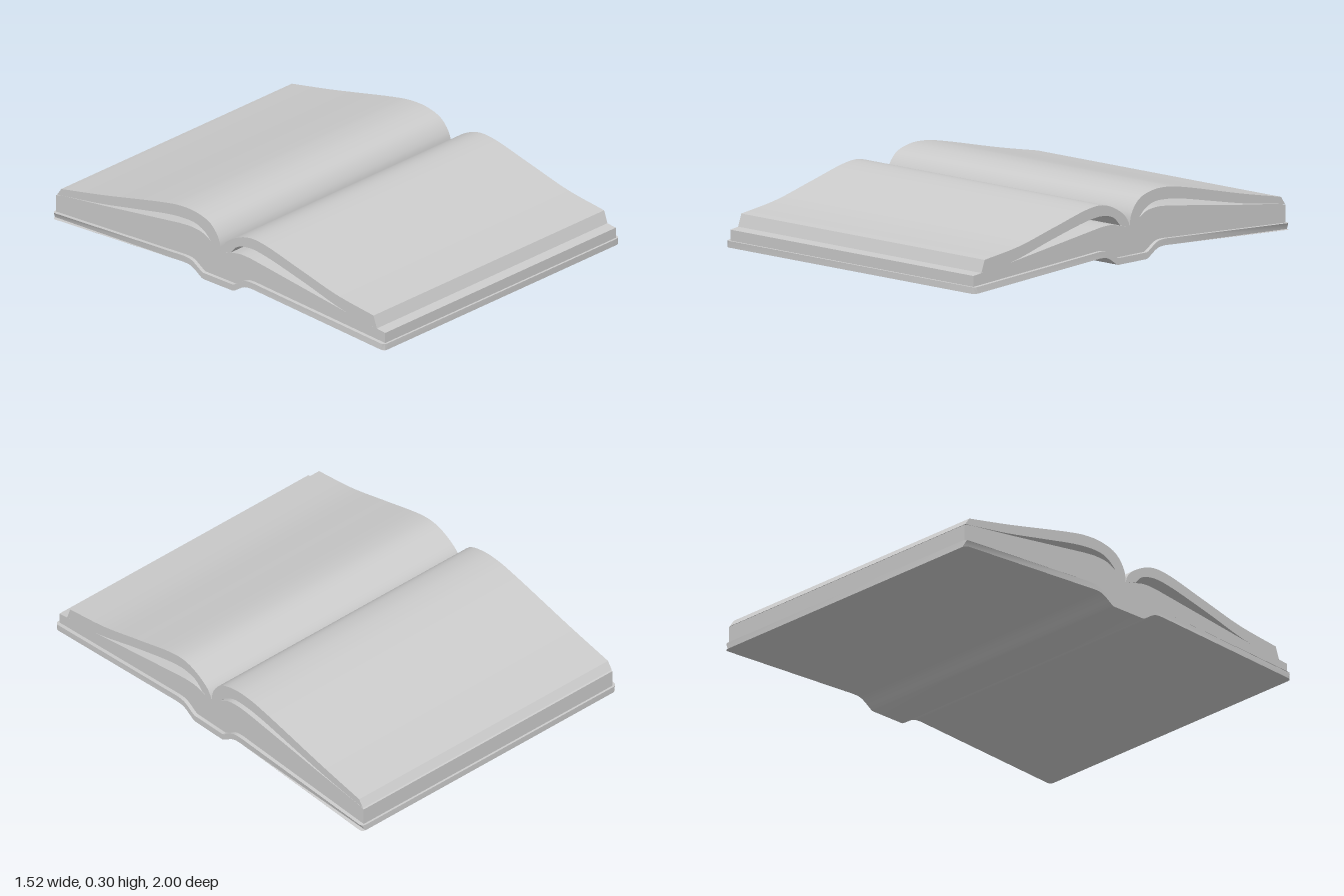
import * as THREE from 'three';
import { toCreasedNormals } from 'three/addons/utils/BufferGeometryUtils.js';

const material = new THREE.MeshStandardMaterial({ color: 0xcccccc });

// Rounds a run of [z, y] points into a gentle curve.
function smooth(points, count = 24) {
  const curve = new THREE.CatmullRomCurve3(points.map(([z, y]) => new THREE.Vector3(z, y, 0)), false, 'centripetal');
  return curve.getSpacedPoints(count).map((p) => [p.x, p.y]);
}

// Extrudes a [z, y] outline across the width; cornerRadius rounds the plan corners.
function slab(name, outline, width, cornerRadius = 0) {
  const shape = new THREE.Shape(outline.map(([z, y]) => new THREE.Vector2(z, y)));
  const geometry = new THREE.ExtrudeGeometry(shape, { depth: width, bevelEnabled: false });
  geometry.translate(0, 0, -width / 2).rotateY(-Math.PI / 2);
  if (cornerRadius > 0) {
    const pos = geometry.attributes.position;
    for (let i = 0; i < pos.count; i++) {
      const d = Math.max(0, Math.abs(pos.getZ(i)) - (1 - cornerRadius));
      const inset = cornerRadius - Math.sqrt(Math.max(0, cornerRadius ** 2 - d * d));
      pos.setX(i, pos.getX(i) - Math.sign(pos.getX(i)) * inset);
    }
  }
  const mesh = new THREE.Mesh(toCreasedNormals(geometry, 0.55), material);
  mesh.name = name;
  return mesh;
}

const mirror = (points) => points.map(([z, y]) => [-z, y]).reverse();

export function createModel() {
  const book = new THREE.Group();
  book.name = 'openBook';

  // Cover: two sloping boards joined by a flat spine
  const thickness = 0.03;
  const half = [
    [1, 0], [0.997, 0], [0.99, 0], [0.98, 0.001],
    ...smooth([[0.26, 0.042], [0.2, 0.045], [0.16, 0.04], [0.1, 0.004]], 10),
    [0.09, 0],
  ];
  const under = [...half, ...mirror(half)];
  const upper = under.map(([z, y]) => [z, y + thickness]);
  book.add(slab('cover', [...under, ...[...upper].reverse()], 1.52, 0.02));

  // Page block: rests on the cover, the back stack thicker than the front one
  const bed = upper.filter(([z]) => Math.abs(z) < 0.985);
  const blockTop = [
    [-0.99, 0.11], [-0.95, 0.12], [-0.7, 0.152],
    ...smooth([[-0.25, 0.215], [-0.18, 0.22], [-0.11, 0.213], [-0.06, 0.188]], 10),
    [0, 0.155],
    ...smooth([[0.065, 0.17], [0.11, 0.18], [0.17, 0.18], [0.24, 0.172]], 10),
    [0.73, 0.108], [0.93, 0.086], [0.99, 0.079],
  ];
  book.add(slab('pageBlock', [[0.99, 0.03], ...bed, [-0.99, 0.03], ...blockTop], 1.484));

  // Raised pages: arched leaves lifting off the block beside the gutter
  const frontTop = smooth([[0, 0.155], [0.008, 0.18], [0.03, 0.21], [0.1, 0.255], [0.17, 0.277],
    [0.25, 0.275], [0.48, 0.222], [0.7, 0.17], [0.92, 0.141]], 48);
  const frontUnder = smooth([[0.94, 0.085], [0.73, 0.11], [0.5, 0.168], [0.25, 0.223], [0.17, 0.228],
    [0.1, 0.21], [0.06, 0.17]], 40);
  book.add(slab('frontRaisedPages', [...frontTop, ...frontUnder], 1.484));

  const backTop = smooth([[0, 0.155], [-0.01, 0.21], [-0.06, 0.272], [-0.15, 0.3], [-0.25, 0.3],
    [-0.34, 0.285], [-0.72, 0.199], [-0.96, 0.15]], 48);
  const backUnder = smooth([[-0.985, 0.115], [-0.72, 0.156], [-0.52, 0.196], [-0.32, 0.236], [-0.24, 0.246],
    [-0.15, 0.245], [-0.09, 0.218], [-0.06, 0.187]], 40);
  book.add(slab('backRaisedPages', [...backTop, ...backUnder], 1.484));

  return book;
}
